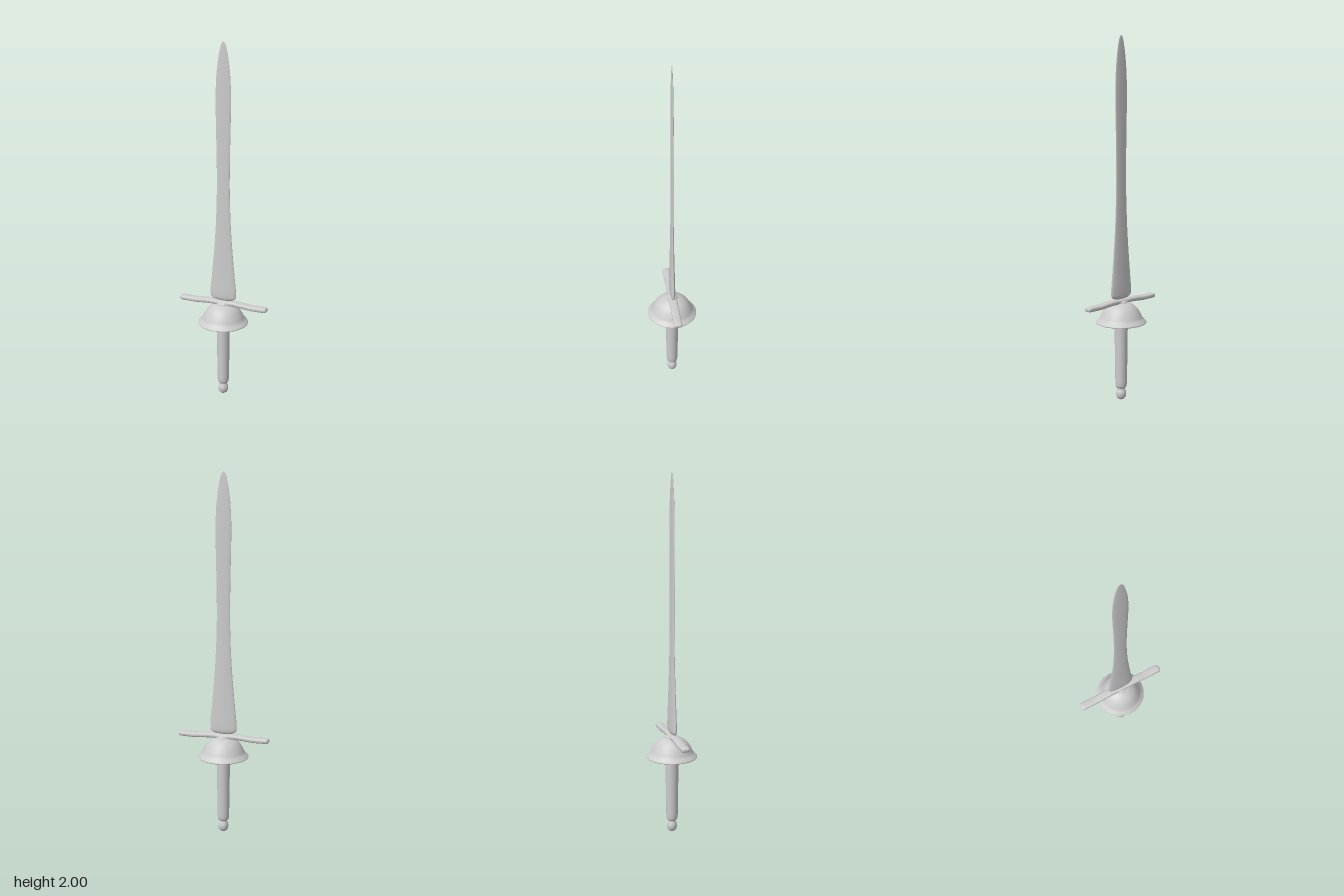
import * as THREE from 'three';
import { mergeVertices } from 'three/addons/utils/BufferGeometryUtils.js';
import { RoundedBoxGeometry } from 'three/addons/geometries/RoundedBoxGeometry.js';

const material = new THREE.MeshStandardMaterial({ color: 0xcccccc });
const openMaterial = new THREE.MeshStandardMaterial({ color: 0xcccccc, side: THREE.DoubleSide });

// Smooth curve through [radius, height] points, listed from bottom to top
function profile(points, samples) {
  const curve = new THREE.CatmullRomCurve3(
    points.map(([r, y]) => new THREE.Vector3(r, y, 0)), false, 'centripetal');
  return curve.getPoints(samples).map(p => new THREE.Vector2(Math.max(p.x, 0), p.y));
}

function smooth(geometry) {
  geometry.deleteAttribute('uv');
  geometry.deleteAttribute('normal');
  const merged = mergeVertices(geometry, 1e-5);
  merged.computeVertexNormals();
  return merged;
}

function add(group, name, geometry, mat = material) {
  const mesh = new THREE.Mesh(geometry, mat);
  mesh.name = name;
  group.add(mesh);
}

// Turned blade outline, flattened in z with a thickness that tapers to the tip
function bladeGeometry() {
  const outline = profile([
    [0, 0.572], [0.05, 0.578], [0.073, 0.592], [0.077, 0.62], [0.07, 0.7], [0.056, 0.85],
    [0.045, 1.0], [0.038, 1.2], [0.039, 1.4], [0.043, 1.6], [0.044, 1.72],
    [0.037, 1.85], [0.022, 1.95], [0.01, 1.99], [0, 2],
  ], 90);
  const geometry = new THREE.LatheGeometry(outline, 32);
  const pos = geometry.attributes.position;
  for (let i = 0; i < pos.count; i++) {
    const t = THREE.MathUtils.clamp((pos.getY(i) - 0.6) / 1.4, 0, 1);
    pos.setZ(i, pos.getZ(i) * THREE.MathUtils.lerp(0.2, 0.13, t));
  }
  return smooth(geometry);
}

// Rounded bar with a gentle wave along its length
function crossguardGeometry() {
  const geometry = new THREE.BoxGeometry(0.522, 0.026, 0.046, 48, 6, 6);
  const pos = geometry.attributes.position;
  const inner = new THREE.Vector3(), p = new THREE.Vector3();
  const radius = 0.0115;
  for (let i = 0; i < pos.count; i++) {
    p.fromBufferAttribute(pos, i);
    inner.set(
      THREE.MathUtils.clamp(p.x, -0.261 + radius, 0.261 - radius),
      THREE.MathUtils.clamp(p.y, -0.013 + radius, 0.013 - radius),
      THREE.MathUtils.clamp(p.z, -0.023 + radius, 0.023 - radius));
    p.sub(inner).normalize().multiplyScalar(radius).add(inner);
    const x = Math.abs(p.x);
    const wave = 0.009 * Math.exp(-((x / 0.13) ** 2)) - 0.004 * Math.exp(-(((x - 0.02) / 0.03) ** 2))
      - 0.002 * Math.exp(-(((x - 0.17) / 0.04) ** 2));
    pos.setXYZ(i, p.x, p.y + 0.555 + wave, p.z);
  }
  return smooth(geometry);
}

export function createModel() {
  const group = new THREE.Group();
  group.name = 'sword';

  add(group, 'blade', bladeGeometry());
  add(group, 'crossguard', crossguardGeometry());

  // Hollow bell-shaped hand guard with a flared rim
  const bell = profile([
    [0.125, 0.443], [0.137, 0.44], [0.14, 0.444], [0.132, 0.454], [0.12, 0.467], [0.107, 0.492],
    [0.088, 0.521], [0.062, 0.543], [0.035, 0.555], [0, 0.56],
  ], 48);
  const inside = profile([
    [0, 0.549], [0.034, 0.544], [0.059, 0.533], [0.082, 0.513], [0.099, 0.486],
    [0.111, 0.462], [0.125, 0.443],
  ], 24);
  add(group, 'handGuard', smooth(new THREE.LatheGeometry([...inside, ...bell.slice(1)], 64)), openMaterial);

  // Collar where the grip passes through the guard
  add(group, 'collar', new THREE.LatheGeometry(profile([
    [0.034, 0.545], [0.035, 0.557], [0.028, 0.564], [0, 0.566],
  ], 12), 32));

  // Grip, slightly tapered and rounded at the lower end
  add(group, 'grip', smooth(new THREE.LatheGeometry(profile([
    [0, 0.064], [0.02, 0.066], [0.029, 0.075], [0.032, 0.09], [0.033, 0.14],
    [0.035, 0.28], [0.037, 0.44], [0.038, 0.555],
  ], 40), 32)));

  // Round pommel with a short neck
  add(group, 'pommel', smooth(new THREE.LatheGeometry(profile([
    [0, 0], [0.012, 0.003], [0.023, 0.013], [0.028, 0.03], [0.027, 0.044],
    [0.022, 0.057], [0.02, 0.066], [0.022, 0.08],
  ], 32), 32)));

  return group;
}
